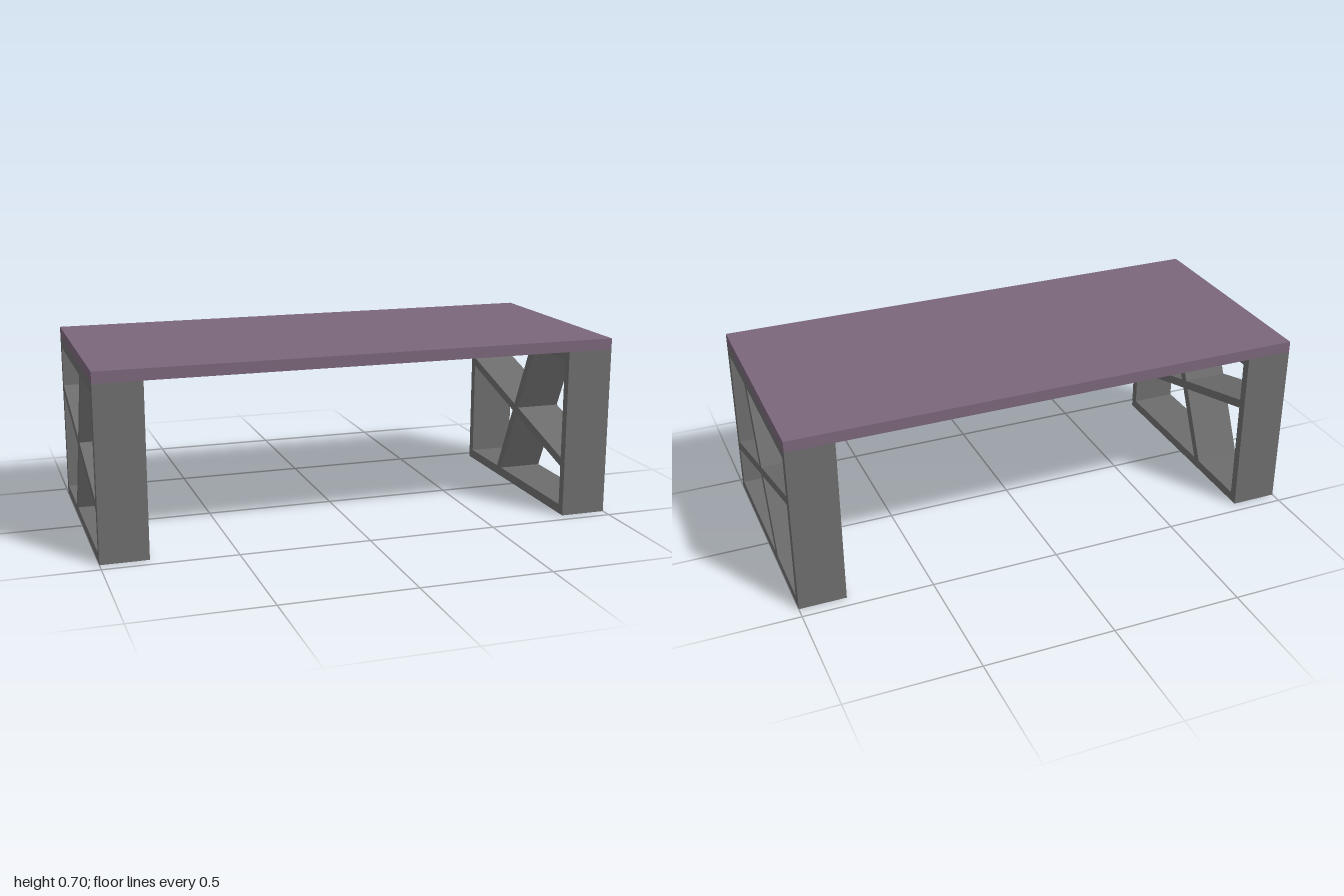
import * as THREE from 'three';

const HALF_DEPTH = 0.453, LEG_TOP = 0.657, TOP = 0.7, LEG_WIDTH = 0.18;

// Point where line a-b crosses line c-d
function cross([a, b], [c, d]) {
  const r = [b[0] - a[0], b[1] - a[1]], s = [d[0] - c[0], d[1] - c[1]];
  const t = ((c[0] - a[0]) * s[1] - (c[1] - a[1]) * s[0]) / (r[0] * s[1] - r[1] * s[0]);
  return [a[0] + r[0] * t, a[1] + r[1] * t];
}

const outline = (points) => points.map(([x, y]) => new THREE.Vector2(x, y));

// Rectangular frame with two crossing braces; profile x runs towards the back
function legGeometry() {
  const w = 0.419, bottom = 0.037, top = 0.62;
  const lower = [[-w, 0.193], [w, 0.43]], upper = [[-w, 0.229], [w, 0.465]];
  const front = [[-0.163, top], [0.119, bottom]], back = [[-0.123, top], [0.157, bottom]];
  const shape = new THREE.Shape(outline([
    [-HALF_DEPTH, 0], [HALF_DEPTH, 0], [HALF_DEPTH, LEG_TOP], [-HALF_DEPTH, LEG_TOP],
  ]));
  const openings = [
    [[-w, bottom], front[1], cross(front, lower), lower[0]],
    [back[1], [w, bottom], lower[1], cross(back, lower)],
    [cross(back, upper), upper[1], [w, top], back[0]],
    [upper[0], cross(front, upper), front[0], [-w, top]],
  ];
  shape.holes = openings.map((p) => new THREE.Path(outline(p)));
  const geometry = new THREE.ExtrudeGeometry(shape, { depth: LEG_WIDTH, bevelEnabled: false });
  return geometry.translate(0, 0, -LEG_WIDTH / 2).rotateY(Math.PI / 2);
}

export function createModel() {
  const model = new THREE.Group();
  model.name = 'table';
  const plum = new THREE.MeshStandardMaterial({ color: 0x7a667a });
  plum.name = 'plum';
  const grey = new THREE.MeshStandardMaterial({ color: 0x6d6d6d });
  grey.name = 'grey';

  // Table top
  const tabletop = new THREE.Mesh(new THREE.BoxGeometry(2, TOP - LEG_TOP, HALF_DEPTH * 2), plum);
  tabletop.name = 'tabletop';
  tabletop.position.y = (TOP + LEG_TOP) / 2;
  model.add(tabletop);

  // Same brace direction on both ends
  const geometry = legGeometry();
  for (const side of [-1, 1]) {
    const leg = new THREE.Mesh(geometry, grey);
    leg.name = side > 0 ? 'leftLegFrame' : 'rightLegFrame';
    leg.position.x = side * (1 - LEG_WIDTH / 2);
    model.add(leg);
  }
  return model;
}
